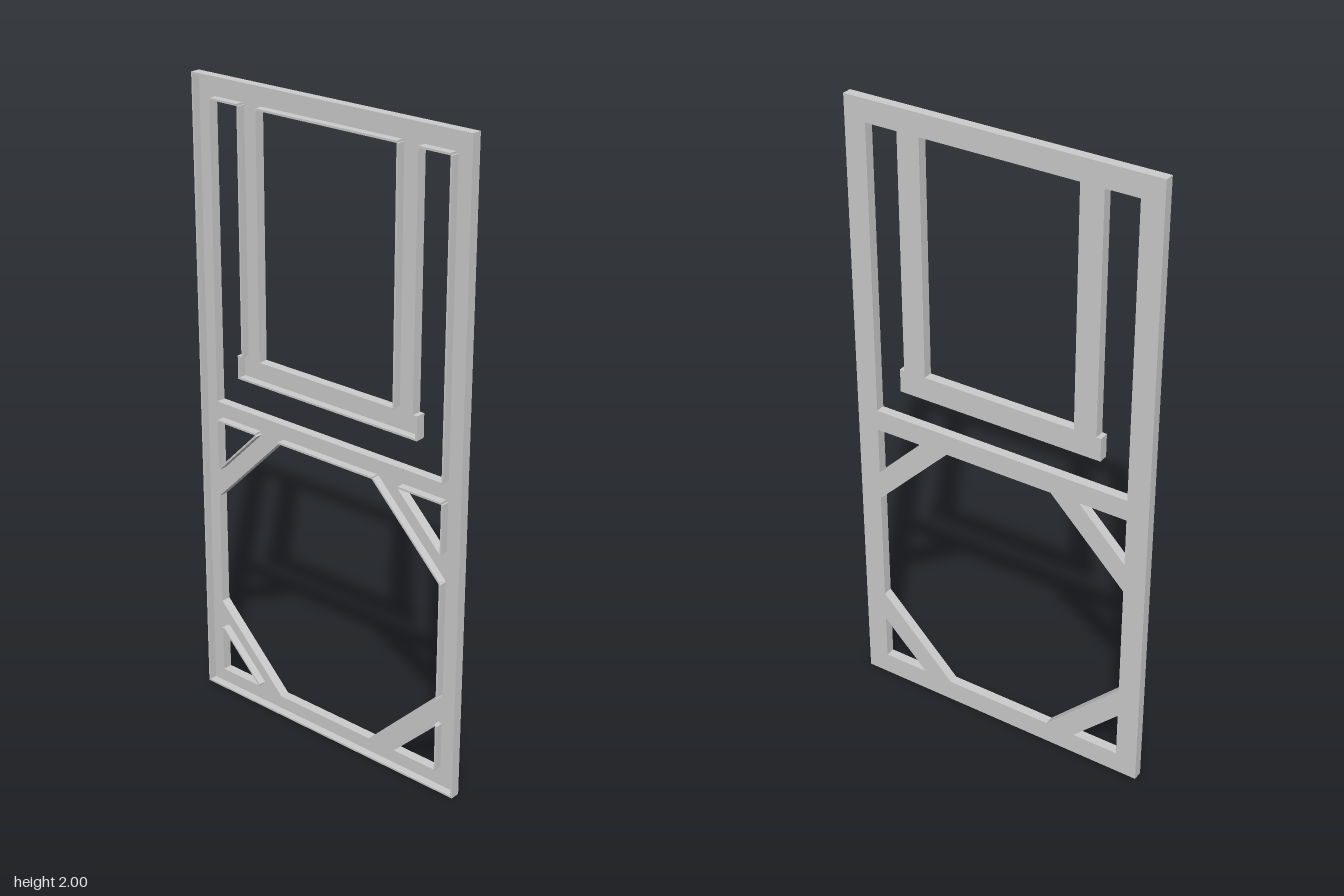
import * as THREE from 'three';

const D = 0.0155; // half depth of the panel
const T = 0.006;  // sheet thickness

const mat = new THREE.MeshStandardMaterial({ color: 0xcccccc, flatShading: true });
const toPoints = (list) => list.map(([u, v]) => new THREE.Vector2(u, v));

// mirror a half outline about the vertical centre line
const mirrored = (half) => [...half, ...half.slice().reverse().map(([u, v]) => [-u, v])];

// counter-clockwise copy, so the sheet lies to the right of every edge
function counterClockwise(pts) {
  return THREE.ShapeUtils.area(pts) < 0 ? pts.slice().reverse() : pts;
}

// upright flanges along a closed outline, set to the right of each edge
function flanges(name, pts) {
  const group = new THREE.Group();
  group.name = name;
  pts.forEach((p, i) => {
    const q = pts[(i + 1) % pts.length];
    const dir = q.clone().sub(p);
    const length = dir.length();
    dir.normalize();
    const wall = new THREE.Mesh(new THREE.BoxGeometry(length, T, 2 * D - T), mat);
    wall.name = 'flange';
    wall.position.set(
      (p.x + q.x) / 2 + dir.y * T / 2,
      (p.y + q.y) / 2 - dir.x * T / 2,
      -T / 2
    );
    wall.rotation.z = Math.atan2(dir.y, dir.x);
    group.add(wall);
  });
  return group;
}

export function createModel() {
  const model = new THREE.Group();
  model.name = 'framePanel';
  const panel = new THREE.Group();
  panel.name = 'panel';
  panel.rotation.y = Math.PI / 2; // the flat face looks to +x
  model.add(panel);

  const outline = toPoints([[-0.5, 0], [-0.5, 2], [0.5, 2], [0.5, 0]]);

  // openings that leave the posts, rails, hanging bracket and corner braces
  const openings = {
    bracketSurround: mirrored([
      [0.43, 1.007], [0.43, 1.93], [0.325, 1.93], [0.325, 1.18], [0.34, 1.18], [0.34, 1.105]
    ]),
    bracketWindow: mirrored([[0.252, 1.18], [0.252, 1.93]]),
    lowerOctagon: mirrored([[0.18, 0.07], [0.43, 0.32], [0.43, 0.69], [0.18, 0.94]])
  };
  for (const [side, s] of [['Left', -1], ['Right', 1]]) {
    openings['upperBrace' + side] = [[s * 0.43, 0.94], [s * 0.275, 0.94], [s * 0.43, 0.785]];
    openings['lowerBrace' + side] = [[s * 0.43, 0.07], [s * 0.43, 0.22], [s * 0.278, 0.07]];
  }

  // flat face sheet
  const sheet = new THREE.Shape(outline);
  panel.add(flanges('outerFlanges', outline));
  for (const [name, list] of Object.entries(openings)) {
    const pts = counterClockwise(toPoints(list));
    sheet.holes.push(new THREE.Path(pts));
    panel.add(flanges(name + 'Flanges', pts));
  }
  const face = new THREE.Mesh(
    new THREE.ExtrudeGeometry(sheet, { depth: T, bevelEnabled: false }), mat);
  face.name = 'faceSheet';
  face.position.z = D - T;
  panel.add(face);

  return model;
}
